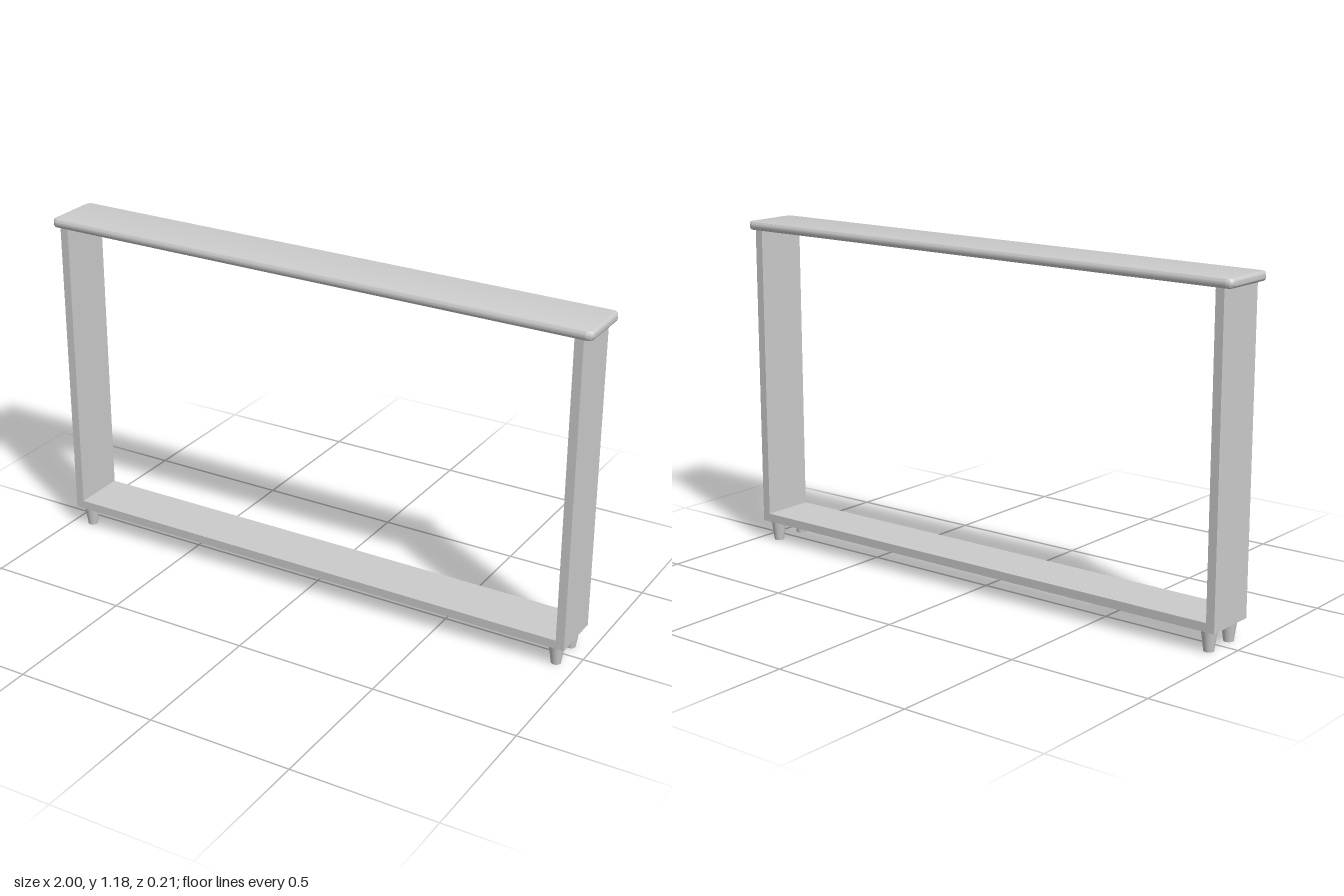
import * as THREE from 'three';
import { toCreasedNormals } from 'three/addons/utils/BufferGeometryUtils.js';

const material = new THREE.MeshStandardMaterial({ color: 0xcccccc });

function addMesh(parent, name, geometry, x, y, z) {
  const mesh = new THREE.Mesh(geometry, material);
  mesh.name = name;
  mesh.position.set(x, y, z);
  parent.add(mesh);
  return mesh;
}

// Rounded rectangle outline centred on the origin
function roundedRect(halfW, halfH, r) {
  const s = new THREE.Shape();
  s.absarc(halfW - r, halfH - r, r, 0, Math.PI / 2);
  s.absarc(-halfW + r, halfH - r, r, Math.PI / 2, Math.PI);
  s.absarc(-halfW + r, -halfH + r, r, Math.PI, Math.PI * 1.5);
  s.absarc(halfW - r, -halfH + r, r, Math.PI * 1.5, Math.PI * 2);
  s.closePath();
  return s;
}

export function createModel() {
  const group = new THREE.Group();
  group.name = 'consoleTable';

  const depth = 0.19, board = 0.03;
  const baseY = 0.073, topY = 1.147, height = 1.178;
  const halfWidth = 0.97;

  // Table top with softened edges and corners
  const bevel = 0.01;
  const topGeometry = new THREE.ExtrudeGeometry(roundedRect(1 - bevel, 0.106 - bevel, 0.012), {
    depth: height - topY - 2 * bevel,
    bevelEnabled: true,
    bevelSize: bevel,
    bevelThickness: bevel,
    bevelSegments: 5,
    curveSegments: 6,
  });
  topGeometry.rotateX(-Math.PI / 2);
  addMesh(group, 'tableTop', toCreasedNormals(topGeometry, 0.7), 0, topY + bevel, 0);

  // Bottom shelf between the side panels
  addMesh(group, 'bottomShelf', new THREE.BoxGeometry(2 * (halfWidth - board), board, depth), 0, baseY + board / 2, 0);

  // Side panels and tapered feet
  const panelGeometry = new THREE.BoxGeometry(board, topY - baseY, depth);
  const footGeometry = new THREE.CylinderGeometry(0.027, 0.017, baseY, 32);
  for (const [side, sx] of [['left', 1], ['right', -1]]) {
    addMesh(group, side + 'Panel', panelGeometry, sx * (halfWidth - board / 2), (baseY + topY) / 2, 0);
    for (const [end, sz] of [['Front', 1], ['Back', -1]]) {
      addMesh(group, side + end + 'Foot', footGeometry, sx * 0.93, baseY / 2, sz * 0.058);
    }
  }
  return group;
}
